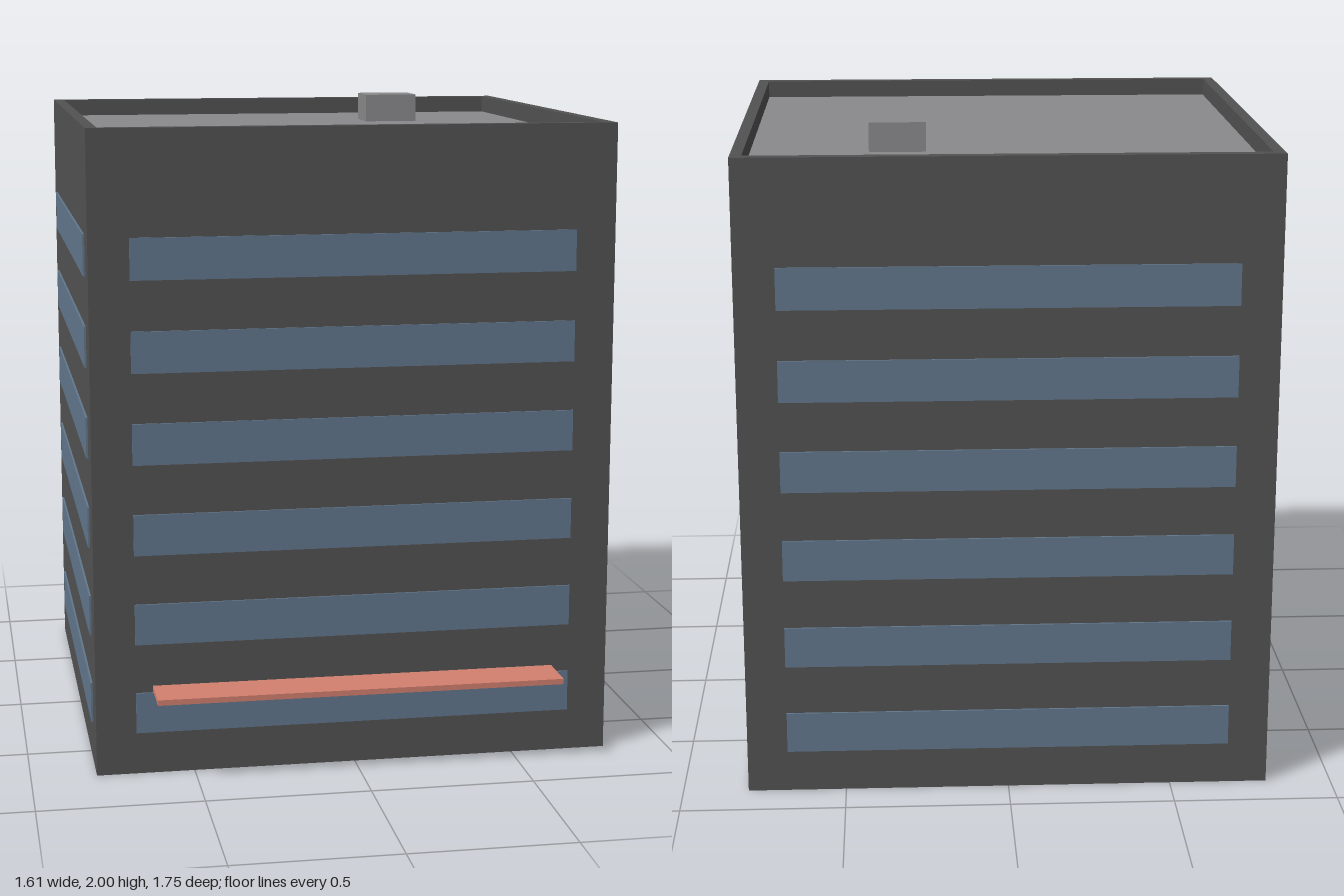
import * as THREE from 'three';

export function createModel() {
  const model = new THREE.Group();
  model.name = 'officeBlock';

  const mat = (name, color) => {
    const m = new THREE.MeshStandardMaterial({ color });
    m.name = name;
    return m;
  };
  const wall = mat('dark wall', 0x525252);
  const glass = mat('blue glass', 0x62778d);
  const roofGrey = mat('roof grey', 0x8a898b);
  const coral = mat('coral canopy', 0xd3806f);

  const box = (parent, name, material, w, h, d, x, y, z) => {
    const mesh = new THREE.Mesh(new THREE.BoxGeometry(w, h, d), material);
    mesh.name = name;
    mesh.position.set(x, y, z);
    parent.add(mesh);
    return mesh;
  };

  const half = 0.8, top = 1.965, deck = 1.91, rim = 0.035;

  // Everything square to the tower hangs on its own axis, set back from centre
  const tower = new THREE.Group();
  tower.name = 'tower';
  tower.position.z = -0.07;
  model.add(tower);

  // Walls and parapet: one square tube
  const square = (Type, s) => {
    const p = new Type();
    p.moveTo(-s, -s);
    p.lineTo(s, -s);
    p.lineTo(s, s);
    p.lineTo(-s, s);
    p.closePath();
    return p;
  };
  const outline = square(THREE.Shape, half);
  outline.holes.push(square(THREE.Path, half - rim));
  const shell = new THREE.ExtrudeGeometry(outline, { depth: top, bevelEnabled: false });
  shell.rotateX(-Math.PI / 2);
  const walls = new THREE.Mesh(shell, wall);
  walls.name = 'wallsAndParapet';
  tower.add(walls);

  // Floor and roof deck close the tube
  const inner = 2 * (half - rim);
  box(tower, 'floor', wall, inner, 0.04, inner, 0, 0.02, 0);
  box(tower, 'roofDeck', roofGrey, inner, 0.04, inner, 0, deck - 0.02, 0);

  // Ribbon windows: six storeys on each of four sides
  for (let side = 0; side < 4; side++) {
    const facade = new THREE.Group();
    facade.name = ['front', 'left', 'back', 'right'][side] + 'Windows';
    facade.rotation.y = side * Math.PI / 2;
    for (let i = 0; i < 6; i++) {
      box(facade, 'ribbonWindow', glass, 1.355, 0.126, 0.006, 0, 0.193 + i * 0.2777, half + 0.003);
    }
    tower.add(facade);
  }

  // Rooftop unit
  box(model, 'rooftopUnit', roofGrey, 0.173, 2 - deck, 0.146, 0.319, (2 + deck) / 2, -0.395);

  // Entrance canopy
  box(model, 'entranceCanopy', coral, 1.25, 0.017, 0.145, 0, 0.268, 0.8025);

  return model;
}
